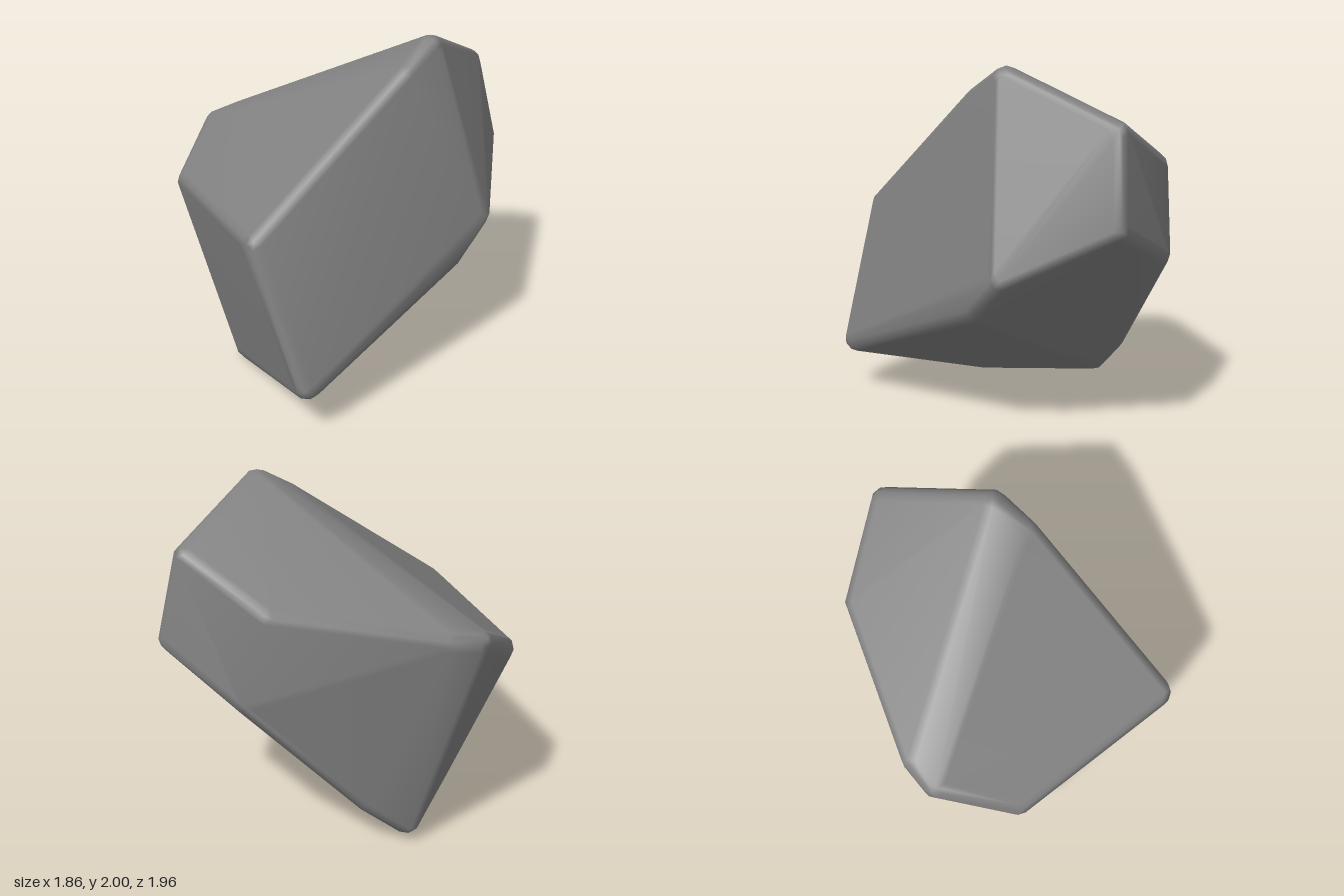
import * as THREE from 'three';
import { mergeVertices } from 'three/addons/utils/BufferGeometryUtils.js';
import { ConvexGeometry } from 'three/addons/geometries/ConvexGeometry.js';

const ROUNDING = 0.085;

// Outer corners of the boulder
const CORNERS = [
  [-0.29, 1.1, 0.87],    // front ridge, upper end
  [0.02, 0.26, 0.965],   // front ridge, lower end
  [-0.93, 1.05, -0.04],  // left shoulder
  [-0.5, 0.01, 0.22],    // bottom front
  [-0.46, 0.06, -0.53],  // bottom back
  [-0.25, 0.26, -0.67],  // bottom back bevel
  [0.59, 1.99, -0.11],   // peak
  [0.47, 1.88, 0.06],    // peak bevel
  [-0.85, 1.28, -0.51],  // back shoulder
  [-0.7, 1.32, -0.63],   // back shoulder bevel
  [0.25, 1.48, -0.935],  // back brow
  [0.78, 1.71, -0.74],   // back peak
  [0.38, 0.98, -0.97],   // back belly
  [0.9, 1.22, -0.76],    // side, back
  [0.93, 0.92, -0.14],   // side, front
  [0.78, 0.69, 0.04],    // side, lower
].map((p) => new THREE.Vector3(...p));

// Convex hull of small spheres set inside each corner: a solid with rounded edges
function roundedHull(corners, radius) {
  const ball = new THREE.IcosahedronGeometry(radius, 1);
  ball.deleteAttribute('normal');
  ball.deleteAttribute('uv');
  const ballPos = mergeVertices(ball, 1e-4).attributes.position;
  const middle = new THREE.Vector3(0, 1, 0);
  const points = [];
  for (const corner of corners) {
    const inward = middle.clone().sub(corner).setLength(radius);
    const centre = corner.clone().add(inward);
    for (let i = 0; i < ballPos.count; i++) {
      points.push(new THREE.Vector3().fromBufferAttribute(ballPos, i).add(centre));
    }
  }
  const hull = new ConvexGeometry(points);
  hull.deleteAttribute('normal');
  const smooth = mergeVertices(hull, 1e-4);
  smooth.computeVertexNormals();
  return smooth;
}

export function createModel() {
  const boulder = new THREE.Mesh(
    roundedHull(CORNERS, ROUNDING),
    new THREE.MeshStandardMaterial({ color: 0x808080 }),
  );
  boulder.name = 'boulder';
  const group = new THREE.Group();
  group.name = 'rock';
  group.add(boulder);
  return group;
}
